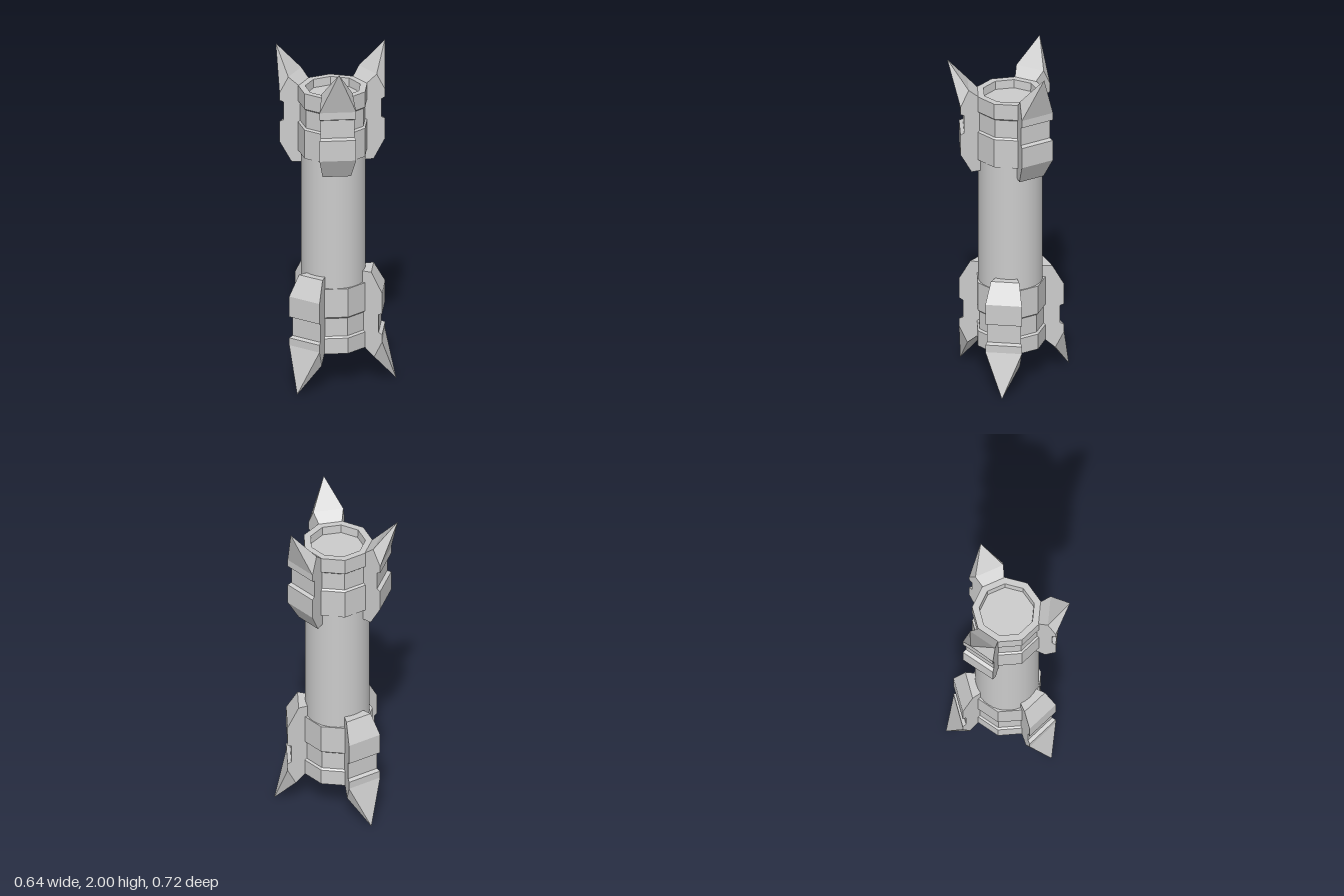
import * as THREE from 'three';

const SIDES = 9;
const HALF = Math.PI / SIDES; // half the angle of one side
const CENTRE_X = -0.023;

const flat = new THREE.MeshStandardMaterial({ color: 0xcccccc, flatShading: true });
const smooth = new THREE.MeshStandardMaterial({ color: 0xcccccc });

// Claw cross-sections, bottom to tip: inner radius, inner y, outer radius, outer y, half angle
const CLAW = [
  [0.175, 1.32, 0.242, 1.32, HALF],
  [0.175, 1.44, 0.311, 1.44, HALF],
  [0.175, 1.565, 0.311, 1.565, HALF],
  [0.175, 1.575, 0.288, 1.575, HALF],
  [0.175, 1.685, 0.288, 1.685, HALF],
  [0.175, 1.695, 0.311, 1.695, HALF],
  [0.175, 1.74, 0.311, 1.74, HALF],
  [0.2, 1.79, 0.311, 1.74, HALF],
  [0.26, 1.84, 0.311, 1.74, HALF],
  [0.365, 2, 0.365, 2, 0],
];

function clawGeometry() {
  const loops = CLAW.map(([ri, yi, ro, yo, a]) => {
    const p = (r, y, t) => new THREE.Vector3(r * Math.cos(t), y, r * Math.sin(t));
    return [p(ri, yi, -a), p(ro, yo, -a), p(ro, yo, a), p(ri, yi, a)];
  });
  const points = [];
  const tri = (a, b, c) => {
    // skip triangles that collapse where sections meet
    if (new THREE.Triangle(a, b, c).getArea() > 1e-7) points.push(a, b, c);
  };
  for (let k = 0; k < loops.length - 1; k++) {
    const lo = loops[k], hi = loops[k + 1];
    for (let i = 0; i < 4; i++) {
      const j = (i + 1) % 4;
      tri(lo[i], hi[i], lo[j]);
      tri(hi[i], hi[j], lo[j]);
    }
  }
  const base = loops[0];
  tri(base[0], base[1], base[2]);
  tri(base[0], base[2], base[3]);
  const geometry = new THREE.BufferGeometry().setFromPoints(points);
  geometry.computeVertexNormals();
  return geometry;
}

// Nine-sided collar with a groove round the middle and a recessed end
function collarGeometry() {
  const profile = [
    [0.17, 1.39], [0.203, 1.39], [0.203, 1.565], [0.191, 1.575], [0.191, 1.685],
    [0.203, 1.695], [0.203, 1.79], [0.162, 1.79], [0.158, 1.74], [0, 1.74],
  ].map(([r, y]) => new THREE.Vector2(r, y));
  return new THREE.LatheGeometry(profile, SIDES, Math.PI / 2);
}

function createEnd(name) {
  const end = new THREE.Group();
  end.name = name;
  const collar = new THREE.Mesh(collarGeometry(), flat);
  collar.name = 'collar';
  end.add(collar);
  // Three claws on every third side of the collar
  const geometry = clawGeometry();
  for (let i = 0; i < 3; i++) {
    const claw = new THREE.Mesh(geometry, flat);
    claw.name = 'claw' + (i + 1);
    claw.rotation.y = HALF + (i * Math.PI * 2) / 3;
    end.add(claw);
  }
  return end;
}

export function createModel() {
  const model = new THREE.Group();
  model.name = 'clawedColumn';
  const body = new THREE.Group();
  body.name = 'body';
  body.position.x = CENTRE_X;
  model.add(body);

  // Round shaft
  const shaft = new THREE.Mesh(new THREE.CylinderGeometry(0.186, 0.186, 0.84, 36), smooth);
  shaft.name = 'shaft';
  shaft.position.y = 1;
  body.add(shaft);

  // Upper end, and the same end turned over for the bottom
  const bottom = createEnd('bottomEnd');
  bottom.rotation.x = Math.PI;
  bottom.position.y = 2;
  body.add(createEnd('topEnd'), bottom);
  return model;
}
